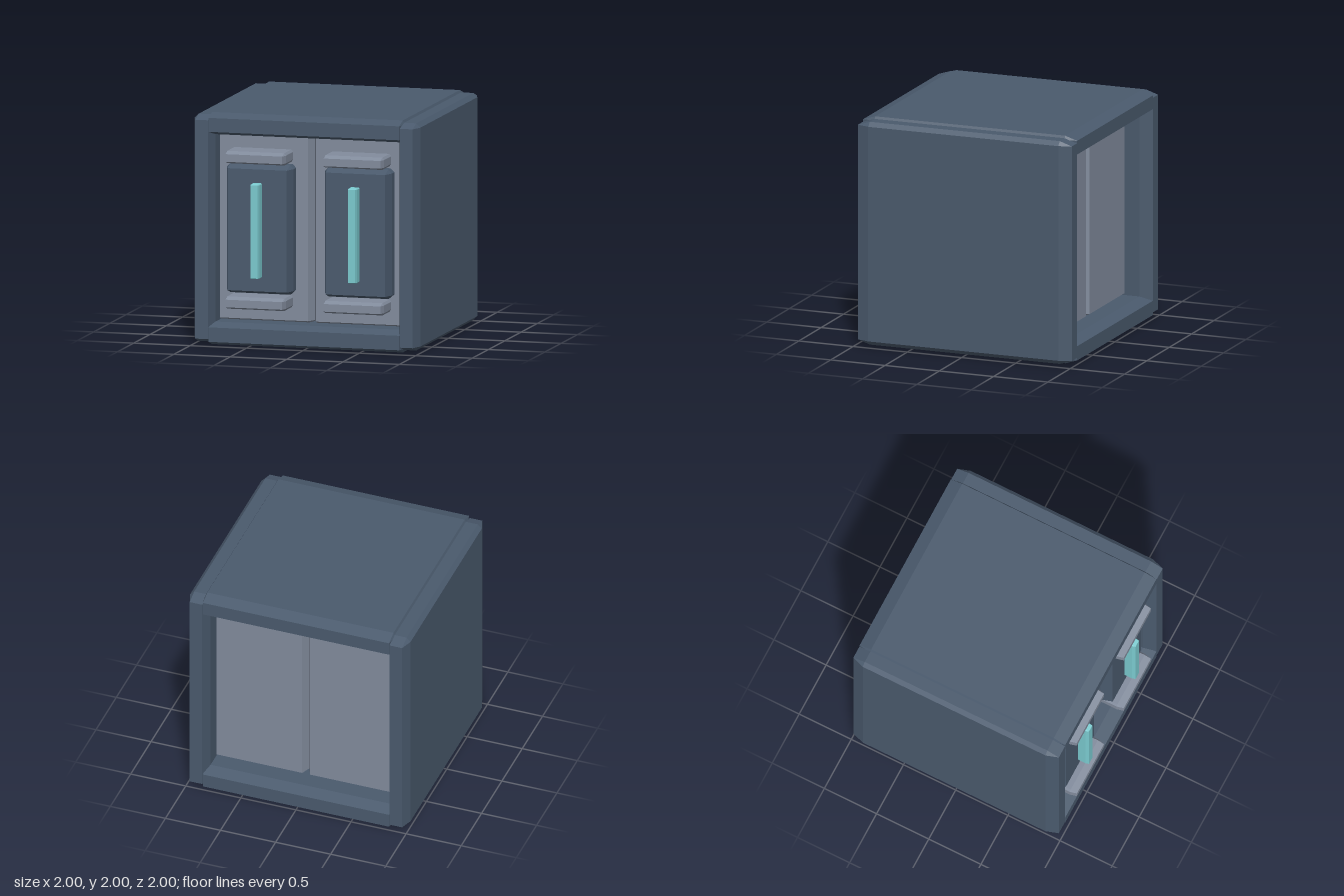
import * as THREE from 'three';
import { ConvexGeometry } from 'three/addons/geometries/ConvexGeometry.js';

const paint = (name, color) => {
  const m = new THREE.MeshStandardMaterial({ color });
  m.name = name;
  return m;
};

// Box between two corners with every edge bevelled by a separate amount per axis
function bevelBox(min, max, bevel) {
  const c = min.map((v, i) => (v + max[i]) / 2);
  const h = min.map((v, i) => (max[i] - v) / 2);
  const points = [];
  for (const sx of [-1, 1]) for (const sy of [-1, 1]) for (const sz of [-1, 1]) {
    const s = [sx, sy, sz];
    // each corner becomes three points, one lying on each main face
    for (let face = 0; face < 3; face++) {
      points.push(new THREE.Vector3(
        ...s.map((sign, i) => c[i] + sign * (h[i] - (i === face ? 0 : bevel[i])))
      ));
    }
  }
  return new ConvexGeometry(points);
}

export function createModel() {
  const group = new THREE.Group();
  group.name = 'crate';

  const slate = paint('slate blue', 0x4a5a6d);
  const grey = paint('steel grey', 0x828c9d);
  const cyan = paint('cyan light', 0x7bcbd0);

  const add = (name, material, min, max, bevel) => {
    const mesh = new THREE.Mesh(bevelBox(min, max, bevel), material);
    mesh.name = name;
    group.add(mesh);
  };

  // Top and bottom slabs
  add('topSlab', slate, [-0.865, 1.81, -1], [0.865, 2, 0.97], [0.02, 0.035, 0.11]);
  add('bottomSlab', slate, [-0.865, 0, -1], [0.865, 0.195, 0.97], [0.02, 0.035, 0.11]);

  for (const [side, s] of [['left', 1], ['right', -1]]) {
    // Part given on the +x side and mirrored for the other
    const addSide = (name, material, x0, x1, y0, y1, z0, z1, bevel) => add(
      side + name, material,
      [Math.min(s * x0, s * x1), y0, z0], [Math.max(s * x0, s * x1), y1, z1], bevel
    );

    // Side wall
    addSide('Wall', slate, 0.815, 1, 0.022, 1.98, -1, 0.97, [0.036, 0.036, 0.11]);
    // Inner block, recessed at front and back
    addSide('Core', grey, 0, 0.865, 0.175, 1.825, -0.75, 0.72, [0.035, 0.035, 0.085]);
    // Raised front panel
    addSide('Panel', slate, 0.14, 0.73, 0.445, 1.56, 0.6, 0.9, [0.032, 0.032, 0.1]);
    // Bars above and below the panel
    addSide('UpperBar', grey, 0.168, 0.702, 1.578, 1.684, 0.6, 1, [0.015, 0.02, 0.06]);
    addSide('LowerBar', grey, 0.168, 0.702, 0.324, 0.43, 0.6, 1, [0.015, 0.02, 0.06]);
    // Light strip
    addSide('LightStrip', cyan, 0.393, 0.472, 0.594, 1.412, 0.8, 1, [0.008, 0.008, 0.03]);
  }
  return group;
}
